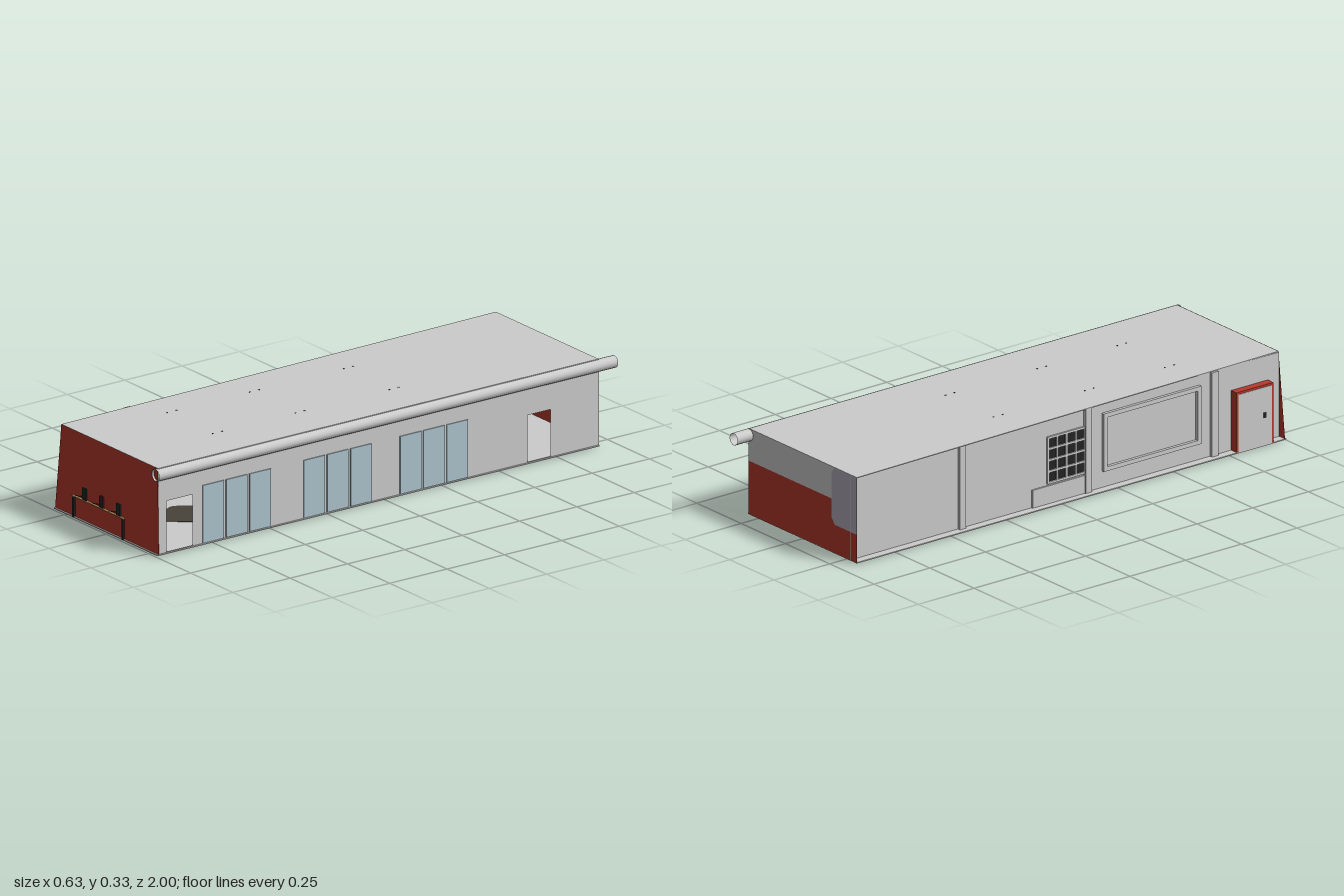
import * as THREE from 'three';

const mat = (name, color) => new THREE.MeshStandardMaterial({ name, color, side: THREE.DoubleSide });

export function createModel() {
  const M = {
    grey: mat('wallGrey', 0xcccccc),
    red: mat('red', 0xb5392c),
    glass: mat('glassBlue', 0xadc4ce),
    black: mat('black', 0x242424),
    lavender: mat('lavenderGrey', 0xb0abb8),
    wood: mat('wood', 0xcfa368),
    rug: mat('darkRug', 0x48423a),
  };
  const root = new THREE.Group();

  const add = (name, geo, material) => {
    const mesh = new THREE.Mesh(geo, material);
    mesh.name = name;
    root.add(mesh);
    return mesh;
  };
  // Box given by its minimum and maximum on each axis
  const box = (name, m, x0, x1, y0, y1, z0, z1) => {
    const g = new THREE.BoxGeometry(x1 - x0, y1 - y0, z1 - z0);
    g.translate((x0 + x1) / 2, (y0 + y1) / 2, (z0 + z1) / 2);
    return add(name, g, m);
  };
  const poly = pts => new THREE.Shape(pts.map(p => new THREE.Vector2(p[0], p[1])));
  const rect = (a, b, c, d) => poly([[a, c], [b, c], [b, d], [a, d]]);

  // Floor and tapering roof
  box('floor', M.grey, -0.315, 0.3, 0.004, 0.008, -0.93, 0.997);
  const roof = new THREE.ExtrudeGeometry(
    poly([[-0.315, 0.93], [0.293, 0.93], [0.293, -0.99], [-0.279, -0.99], [-0.313, 0.83]]),
    { depth: 0.003, bevelEnabled: false });
  roof.rotateX(-Math.PI / 2).translate(0, 0.325, 0);
  add('roof', roof, M.grey);

  // Front wall, leaning in at both sides
  const front = new THREE.ShapeGeometry(
    poly([[-0.315, 0.005], [0.3, 0.005], [0.293, 0.328], [-0.278, 0.328]]));
  add('frontWall', front.translate(0, 0, 0.991), M.red);

  // Back wall: red dado, grey upper part and a lavender corner panel
  const back = (name, m, pts) =>
    add(name, new THREE.ShapeGeometry(poly(pts)).translate(0, 0, -0.93), m);
  back('backWallLower', M.red, [[-0.315, 0.005], [0.295, 0.005], [0.295, 0.206],
    [-0.172, 0.206], [-0.172, 0.135], [-0.19, 0.112], [-0.315, 0.112]]);
  back('backWallUpper', M.grey, [[-0.172, 0.206], [0.295, 0.206], [0.295, 0.328],
    [-0.19, 0.328], [-0.172, 0.305]]);
  back('backCornerPanel', M.lavender, [[-0.315, 0.112], [-0.19, 0.112], [-0.172, 0.135],
    [-0.172, 0.305], [-0.19, 0.328], [-0.315, 0.328]]);

  // Left-hand wall with two doorways
  const side = rect(-0.93, 0.99, 0.005, 0.328);
  side.holes.push(rect(0.84, 0.955, 0.01, 0.2), rect(-0.72, -0.62, 0.01, 0.185));
  add('windowWall', new THREE.ShapeGeometry(side).rotateY(-Math.PI / 2).translate(0.295, 0, 0), M.grey);

  // Three groups of three tall windows
  for (const z of [0.65, 0.21, -0.21]) {
    for (const k of [-1, 0, 1]) {
      const c = z + k * 0.102;
      box('window', M.glass, 0.291, 0.299, 0.01, 0.225, c - 0.046, c + 0.046);
    }
  }

  // Round gutter pipe, open at both ends
  const pipe = new THREE.CylinderGeometry(0.0225, 0.0225, 2, 16, 1, true);
  pipe.rotateX(Math.PI / 2).translate(0.2925, 0.304, 0);
  add('gutterPipe', pipe, M.grey);

  // Right-hand wall with pillars
  box('rightWall', M.grey, -0.282, -0.279, 0.005, 0.325, -0.93, 0.99);
  for (const z of [-0.437, 0.128, 0.695]) {
    box('pillar', M.grey, -0.294, -0.28, 0.005, 0.325, z - 0.014, z + 0.014);
  }

  // Low counter and lattice above it
  box('lowCounter', M.grey, -0.289, -0.28, 0.005, 0.075, -0.12, 0.116);
  box('latticeBack', M.black, -0.284, -0.28, 0.085, 0.255, -0.05, 0.116);
  for (let i = 0; i <= 4; i++) {
    const z = -0.05 + i * 0.0415, y = 0.085 + i * 0.0425;
    box('latticeUpright', M.grey, -0.289, -0.282, 0.082, 0.258, z - 0.004, z + 0.004);
    box('latticeRail', M.grey, -0.289, -0.282, y - 0.004, y + 0.004, -0.05, 0.116);
  }

  // Large framed board
  const frame = rect(0.195, 0.632, 0.07, 0.288);
  frame.holes.push(rect(0.211, 0.616, 0.086, 0.272));
  const frameGeo = new THREE.ExtrudeGeometry(frame, { depth: 0.014, bevelEnabled: false });
  add('boardFrame', frameGeo.rotateY(-Math.PI / 2).translate(-0.28, 0, 0), M.grey);

  // Entrance porch with a door and handle
  box('porch', M.red, -0.313, -0.279, 0.005, 0.233, 0.775, 0.94);
  box('porchDoor', M.grey, -0.315, -0.312, 0.008, 0.225, 0.783, 0.932);
  box('doorHandle', M.black, -0.317, -0.314, 0.11, 0.13, 0.895, 0.905);

  // Desk at the front with screens and keyboards
  box('deskTop', M.wood, -0.206, 0.097, 0.083, 0.087, 0.9, 0.999);
  for (const x of [-0.2, 0.092]) {
    box('deskLeg', M.black, x - 0.005, x + 0.005, 0.005, 0.083, 0.9, 0.998);
  }
  for (const x of [-0.136, -0.036, 0.064]) {
    box('screen', M.black, x - 0.011, x + 0.011, 0.087, 0.13, 0.95, 0.997);
    const key = add('keyboard', new THREE.BoxGeometry(0.045, 0.001, 0.004), M.black);
    key.position.set(x - 0.033, 0.092, 0.994);
    key.rotation.z = 0.2;
    // Chair behind each screen
    box('chairSeat', M.black, x - 0.02, x + 0.02, 0.043, 0.05, 0.86, 0.9);
    box('chairBack', M.black, x - 0.02, x + 0.02, 0.05, 0.1, 0.858, 0.864);
    box('chairPost', M.black, x - 0.004, x + 0.004, 0.008, 0.043, 0.876, 0.884);
  }

  // Rounded diamond rugs, showing through the floor
  [0.66, 0.38, 0.09, -0.2].forEach((z, i) => {
    const tips = [[0.15, 0], [0, 0.1], [-0.15, 0], [0, -0.1]];
    const s = new THREE.Shape();
    tips.forEach((p, k) => {
      const a = tips[(k + 3) % 4], b = tips[(k + 1) % 4];
      const mix = (q, t) => [p[0] + (q[0] - p[0]) * t, p[1] + (q[1] - p[1]) * t];
      const start = mix(a, 0.15), end = mix(b, 0.15);
      if (k) s.lineTo(...start); else s.moveTo(...start);
      s.quadraticCurveTo(p[0], p[1], ...end);
    });
    const g = new THREE.ExtrudeGeometry(s, { depth: 0.006, bevelEnabled: false, curveSegments: 5 });
    g.rotateX(-Math.PI / 2).rotateY(Math.PI / 2).translate(0.015, 0.003, z);
    add('rug', g, i % 2 ? M.red : M.rug);
  });

  // Floor vents and small ceiling fixings
  for (const z of [0.48, 0.07]) {
    box('floorVent', M.grey, 0.245, 0.285, 0, 0.005, z - 0.022, z + 0.022);
  }
  for (const x of [-0.155, 0.115]) {
    for (const z of [0.6, 0.24, -0.17]) {
      for (const d of [-0.02, 0.02]) {
        box('roofFixing', M.black, x - 0.002, x + 0.002, 0.31, 0.329, z + d - 0.003, z + d + 0.003);
      }
    }
  }
  return root;
}
